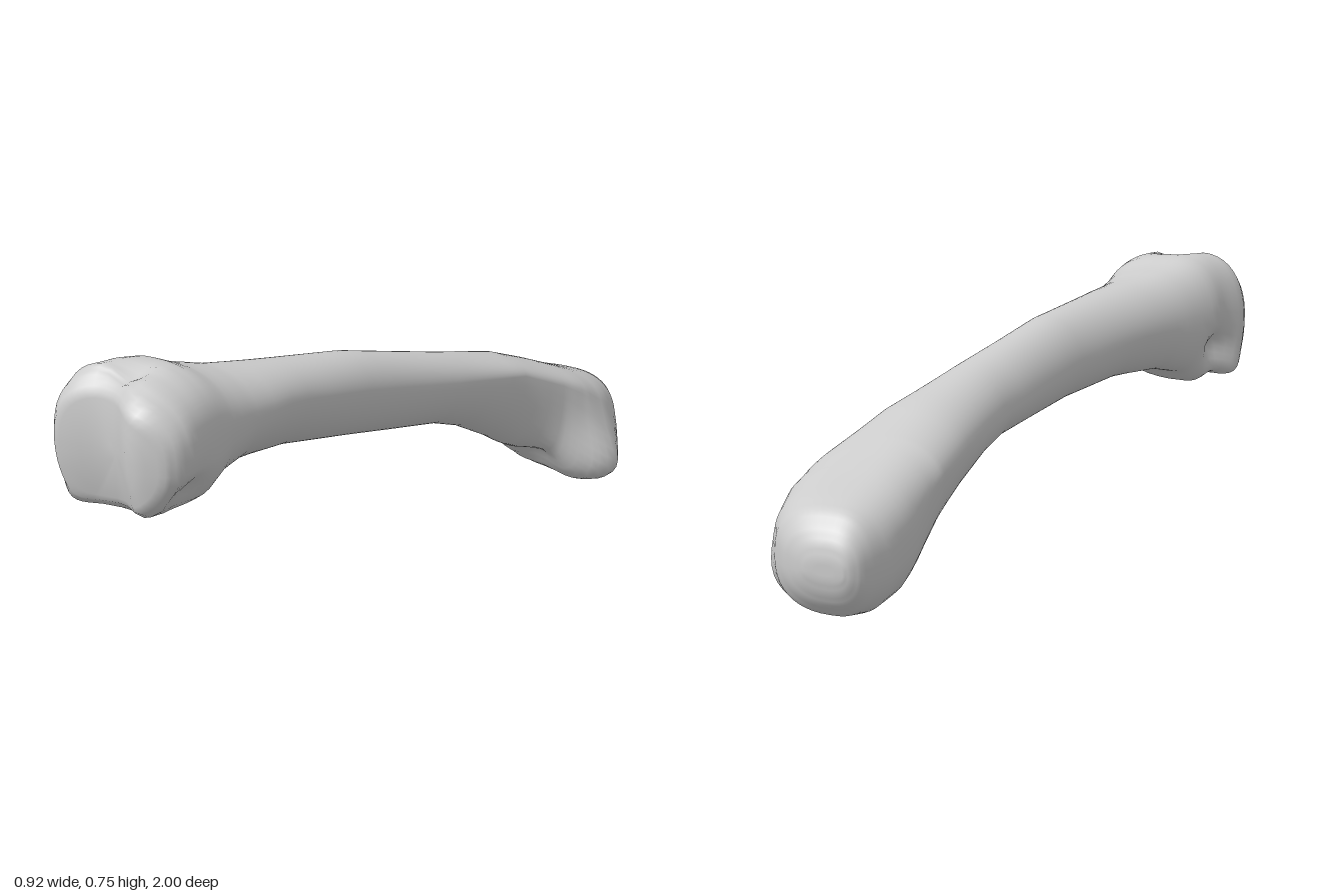
import * as THREE from 'three';
import { mergeVertices } from 'three/addons/utils/BufferGeometryUtils.js';

// Outline along the bone: z, left x, right x, bottom y, top y
const OUTLINE = [
  [-1.0, 0.12, 0.23, 0.145, 0.205],
  [-0.99, 0.1, 0.265, 0.105, 0.245],
  [-0.97, 0.08, 0.31, 0.065, 0.278],
  [-0.93, 0.06, 0.355, 0.02, 0.317],
  [-0.87, 0.035, 0.385, 0.002, 0.34],
  [-0.78, 0.02, 0.4, 0, 0.37],
  [-0.7, 0.018, 0.385, 0.015, 0.4],
  [-0.65, 0.015, 0.365, 0.04, 0.42],
  [-0.6, 0.005, 0.34, 0.095, 0.44],
  [-0.45, -0.003, 0.28, 0.2, 0.495],
  [-0.3, -0.012, 0.235, 0.28, 0.53],
  [-0.18, -0.025, 0.2, 0.32, 0.558],
  [0, -0.07, 0.145, 0.345, 0.6],
  [0.17, -0.12, 0.098, 0.37, 0.64],
  [0.4, -0.21, 0.04, 0.395, 0.667],
  [0.6, -0.3, 0.015, 0.388, 0.69],
  [0.7, -0.355, 0.01, 0.36, 0.715],
  [0.76, -0.39, 0.012, 0.315, 0.742],
  [0.82, -0.41, 0.018, 0.315, 0.75],
  [0.89, -0.448, 0.026, 0.318, 0.745],
  [0.93, -0.44, 0.015, 0.325, 0.72],
  [0.955, -0.415, -0.01, 0.35, 0.68],
];

// Where the extremes of each section sit: z, y of left, y of right, x of bottom, x of top
const LEAN = [
  [-1, 0.17, 0.17, 0.17, 0.17],
  [-0.87, 0.18, 0.21, 0.21, 0.2],
  [-0.75, 0.22, 0.27, 0.24, 0.19],
  [-0.67, 0.28, 0.33, 0.24, 0.18],
  [-0.6, 0.33, 0.37, 0.21, 0.17],
  [-0.45, 0.37, 0.435, 0.15, 0.15],
  [-0.18, 0.42, 0.475, 0.08, 0.1],
  [0.17, 0.49, 0.535, -0.02, 0],
  [0.45, 0.53, 0.57, -0.13, -0.09],
  [0.7, 0.53, 0.56, -0.26, -0.2],
  [0.9, 0.49, 0.54, -0.33, -0.27],
  [0.96, 0.49, 0.54, -0.31, -0.26],
];

// Soft bumps and dents: centre, radius, shift
const SCULPT = [
  [[0.36, 0.08, -0.75], 0.13, [0.1, -0.025, 0.02]], // ball at the near end
  [[0.22, 0.04, -0.61], 0.09, [0, 0.05, -0.03]], // hollow under the neck
  [[-0.21, 0.75, 0.87], 0.05, [0, -0.04, 0]], // groove on top of the far end
  [[-0.4, 0.42, 0.79], 0.06, [0.05, 0.02, 0]], // outer pit
  [[-0.02, 0.42, 0.87], 0.06, [-0.03, 0.02, 0]], // inner pit
  [[-0.34, 0.31, 0.83], 0.04, [0, 0.02, 0]], // gap between the lower knobs
  [[-0.41, 0.35, 0.91], 0.05, [-0.015, -0.02, 0]], // lower outer knob
];

function sample(table, z) {
  let i = 0;
  while (i < table.length - 2 && z > table[i + 1][0]) i++;
  const a = table[i], b = table[i + 1];
  const t = THREE.MathUtils.clamp((z - a[0]) / (b[0] - a[0]), 0, 1);
  return a.map((v, k) => THREE.MathUtils.lerp(v, b[k], t));
}

const power = (v, e) => Math.sign(v) * Math.pow(Math.abs(v), e);
const bell = (v) => Math.exp(-v * v);

// A rounded section whose four quadrants differ; shrink closes the ends
function section(z, shrink, sides) {
  const [, xL, xR, yB, yT] = sample(OUTLINE, z);
  const [, yL, yR, xB, xT] = sample(LEAN, z);
  const end = THREE.MathUtils.smoothstep(Math.abs(z), 0.5, 0.8);
  const e = 1.02 - 0.22 * end;
  const cx = (xL + xR) / 2, cy = (yB + yT) / 2;
  const ring = [];
  for (let j = 0; j < sides; j++) {
    const a = (j / sides) * Math.PI * 2;
    const c = power(Math.cos(a), e), s = power(Math.sin(a), e);
    const xm = s >= 0 ? xT : xB, ym = c >= 0 ? yR : yL;
    const x = xm + (c >= 0 ? xR - xm : xm - xL) * c;
    const y = ym + (s >= 0 ? yT - ym : ym - yB) * s;
    const p = new THREE.Vector3(cx + (x - cx) * shrink, cy + (y - cy) * shrink, z);
    // Two ridges and a groove across the far end face
    const w = THREE.MathUtils.smoothstep(z, 0.84, 0.955);
    p.z += w * (0.05 * bell((p.x + 0.1) / 0.08) + 0.012 * bell((p.x + 0.4) / 0.07)
      - 0.022 * bell((p.x + 0.24) / 0.09) - 0.75 * (p.y - 0.57) ** 2);
    for (const [centre, radius, shift] of SCULPT) {
      const f = bell(p.distanceTo(new THREE.Vector3(...centre)) / radius);
      p.addScaledVector(new THREE.Vector3(...shift), f);
    }
    ring.push(p);
  }
  return ring;
}

function boneGeometry() {
  const sides = 48, steps = 3, rings = [];
  const first = OUTLINE[0][0], last = OUTLINE[OUTLINE.length - 1][0];
  for (const k of [0, 0.5]) rings.push(section(first, k, sides));
  for (let i = 0; i < OUTLINE.length - 1; i++)
    for (let k = 0; k < steps; k++)
      rings.push(section(THREE.MathUtils.lerp(OUTLINE[i][0], OUTLINE[i + 1][0], k / steps), 1, sides));
  for (const k of [1, 0.9, 0.75, 0.6, 0.45, 0.3, 0.15, 0]) rings.push(section(last, k, sides));

  // Skin the rings; the first and last ring are single points
  const positions = [], index = [];
  rings.forEach((ring) => ring.forEach((p) => positions.push(p.x, p.y, p.z)));
  for (let i = 0; i < rings.length - 1; i++)
    for (let j = 0; j < sides; j++) {
      const n = (j + 1) % sides;
      const a = i * sides + j, b = i * sides + n, c = b + sides, d = a + sides;
      if (i > 0) index.push(a, b, c);
      if (i < rings.length - 2) index.push(a, c, d);
    }
  let geometry = new THREE.BufferGeometry();
  geometry.setAttribute('position', new THREE.Float32BufferAttribute(positions, 3));
  geometry.setIndex(index);
  geometry = mergeVertices(geometry, 1e-5);
  geometry.computeVertexNormals();
  return geometry;
}

export function createModel() {
  const group = new THREE.Group();
  group.name = 'longBone';
  const bone = new THREE.Mesh(boneGeometry(), new THREE.MeshStandardMaterial({ color: 0xcccccc }));
  bone.name = 'bone';
  group.add(bone);
  return group;
}
